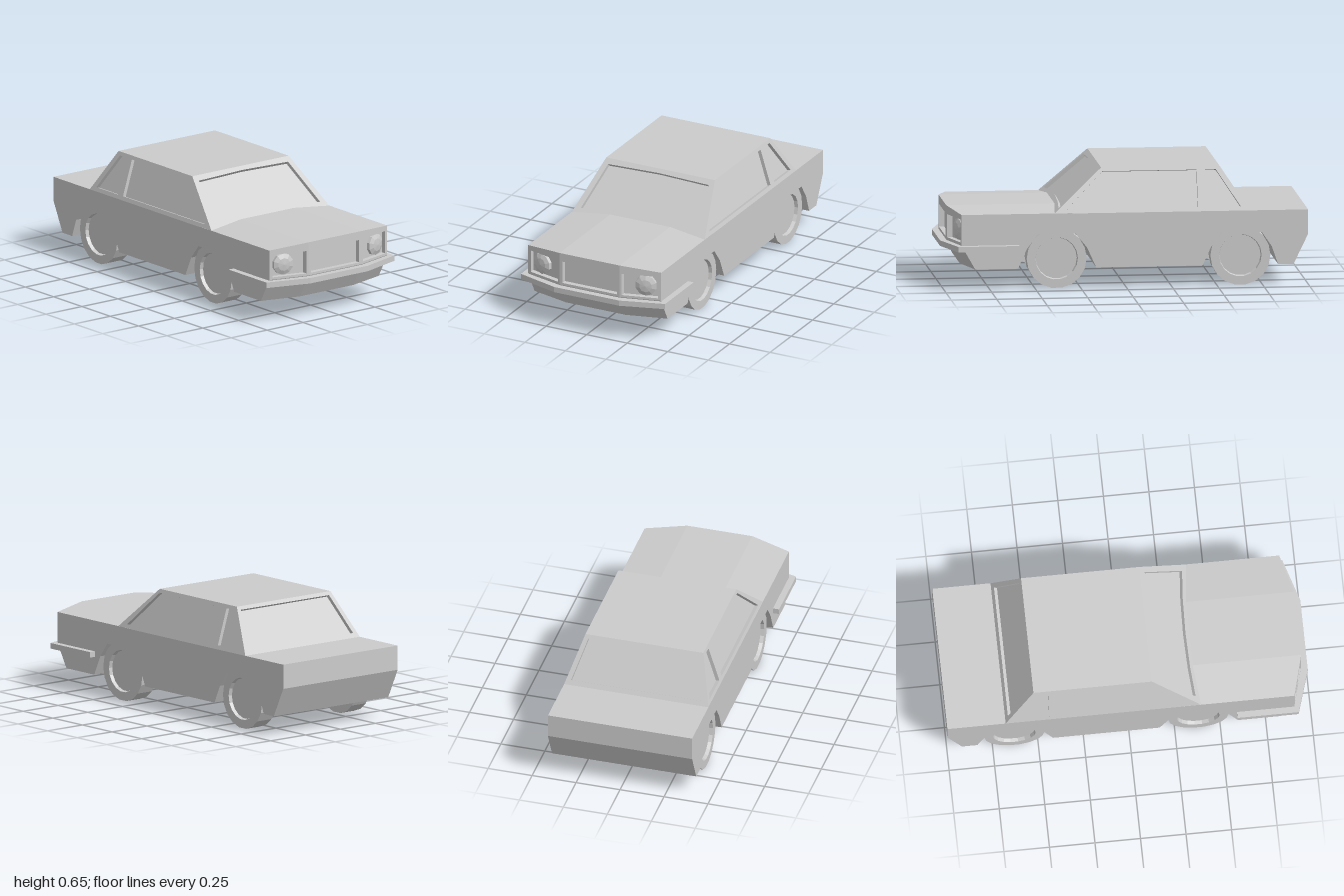
import * as THREE from 'three';

const material = new THREE.MeshStandardMaterial({ color: 0xcccccc, flatShading: true, side: THREE.DoubleSide });
const V = (x, y, z) => new THREE.Vector3(x, y, z);
const shapeOf = (pts) => new THREE.Shape(pts.map(([x, y]) => new THREE.Vector2(x, y)));
const extrude = (shape, depth, steps = 1) =>
  new THREE.ExtrudeGeometry(shape, { depth, steps, bevelEnabled: false });

const W = 0.41, BELT = 0.415, ROOF = 0.655, HOOD = 0.438, FOLD = 0.185, SWEEP = 0.06;
const CABIN_DEPTH = 0.02;

function add(parent, name, geometry) {
  const mesh = new THREE.Mesh(geometry, material);
  mesh.name = name;
  parent.add(mesh);
  return mesh;
}

// Lower body: side profile extruded across the width, then nose and hood edges drawn in
function bodyGeometry() {
  const profile = [
    [0.89, 0.115], [0.95, 0.22], [0.965, 0.25], [0.935, 0.25], [0.935, HOOD], [0.3, HOOD], [0.28, BELT],
    [-1, BELT], [-1, 0.28], [-0.92, 0.115],
    [-0.835, 0.115], [-0.8, 0.215], [-0.745, 0.295], [-0.52, 0.295], [-0.465, 0.215], [-0.42, 0.115],
    [0.165, 0.115], [0.215, 0.225], [0.28, 0.305], [0.485, 0.305], [0.545, 0.225], [0.595, 0.115],
  ];
  const g = extrude(shapeOf(profile), 2 * W, 4);
  g.rotateY(-Math.PI / 2).translate(W, 0, 0);
  const p = g.attributes.position;
  for (let i = 0; i < p.count; i++) {
    const x = Math.abs(p.getX(i));
    if (x > 0.3) {
      if (p.getZ(i) > 0.8) p.setZ(i, p.getZ(i) - SWEEP);
      if (p.getY(i) > BELT + 0.01) p.setY(i, BELT + 0.002);
    } else if (x > 0.1) p.setX(i, Math.sign(p.getX(i)) * FOLD);
  }
  g.computeVertexNormals();
  return g;
}

// Nose frame section with a rectangular opening, swept back outside the fold
function fasciaGeometry(outline, x0, x1) {
  const shape = shapeOf(outline);
  shape.holes.push(shapeOf([[x0, 0.263], [x1, 0.263], [x1, 0.39], [x0, 0.39]]));
  const g = extrude(shape, 0.03);
  const p = g.attributes.position;
  for (let i = 0; i < p.count; i++) {
    const back = Math.max(0, Math.abs(p.getX(i)) - FOLD) * SWEEP / (W - FOLD);
    p.setZ(i, p.getZ(i) + 0.935 - back);
  }
  g.computeVertexNormals();
  return g;
}

// Flat cabin panel through counter-clockwise 3D corners, with openings and recessed glass
function cabinPanel(parent, name, corners, openings = []) {
  const o = corners[0];
  const u = corners[1].clone().sub(o).normalize();
  const n = u.clone().cross(corners[corners.length - 1].clone().sub(o)).normalize();
  const v = n.clone().cross(u);
  const flat = (pts) => pts.map((q) => {
    const d = q.clone().sub(o);
    return [d.dot(u), d.dot(v)];
  });
  const place = new THREE.Matrix4().makeBasis(u, v, n).setPosition(o);
  const shape = shapeOf(flat(corners));
  openings.forEach((h) => shape.holes.push(shapeOf(flat(h))));
  add(parent, name, extrude(shape, CABIN_DEPTH).translate(0, 0, -CABIN_DEPTH).applyMatrix4(place));
  if (openings.length) {
    const glass = new THREE.ShapeGeometry(shapeOf(flat(corners)));
    add(parent, name + 'Glass', glass.translate(0, 0, -CABIN_DEPTH).applyMatrix4(place));
  }
}

function createCabin() {
  const cabin = new THREE.Group();
  cabin.name = 'cabin';
  const rise = (y) => (y - BELT) / (ROOF - BELT);
  const onSide = ([z, y]) => V(W - rise(y) * 0.075, y, z);
  const onFront = ([x, y]) => V(x, y, 0.395 - rise(y) * 0.265);
  const onRear = ([x, y]) => V(x, y, -0.68 + rise(y) * 0.16);

  cabinPanel(cabin, 'windshield', [[-W, BELT], [W, BELT], [0.335, ROOF], [-0.335, ROOF]].map(onFront),
    [[[-0.367, 0.44], [-0.2, 0.452], [0, 0.457], [0.2, 0.452], [0.367, 0.44],
      [0.31, 0.631], [0, 0.637], [-0.31, 0.631]].map(onFront)]);
  cabinPanel(cabin, 'rearWindow', [[W, BELT], [-W, BELT], [-0.335, ROOF], [0.335, ROOF]].map(onRear),
    [[[0.375, 0.438], [-0.375, 0.438], [-0.315, 0.637], [0.315, 0.637]].map(onRear)]);

  // Door and quarter windows on both sides
  const side = [[0.395, BELT], [-0.68, BELT], [-0.52, ROOF], [0.13, ROOF]].map(onSide);
  const windows = [
    [[0.325, 0.437], [-0.395, 0.437], [-0.395, 0.635], [0.125, 0.635]].map(onSide),
    [[-0.44, 0.437], [-0.63, 0.437], [-0.5, 0.635], [-0.44, 0.635]].map(onSide),
  ];
  const mirror = (pts) => pts.map((q) => V(-q.x, q.y, q.z)).reverse();
  cabinPanel(cabin, 'leftSide', side, windows);
  cabinPanel(cabin, 'rightSide', mirror(side), windows.map(mirror));
  cabinPanel(cabin, 'roof', [V(-0.335, ROOF, 0.13), V(0.335, ROOF, 0.13), V(0.335, ROOF, -0.52), V(-0.335, ROOF, -0.52)]);
  return cabin;
}

export function createModel() {
  const car = new THREE.Group();
  car.name = 'car';
  add(car, 'body', bodyGeometry());
  car.add(createCabin());

  // Grille and headlight surrounds
  add(car, 'grilleSurround', fasciaGeometry(
    [[-FOLD, 0.25], [FOLD, 0.25], [FOLD, HOOD], [-FOLD, HOOD]], -0.168, 0.168));
  for (const s of [-1, 1]) {
    add(car, 'headlightSurround', fasciaGeometry(
      [[s * FOLD, 0.25], [s * W, 0.25], [s * W, BELT + 0.002], [s * FOLD, HOOD]], s * 0.196, s * 0.392));
    const lamp = new THREE.LatheGeometry(
      [[0.06, 0], [0.06, 0.018], [0.036, 0.028], [0, 0.032]].map(([r, y]) => new THREE.Vector2(r, y)), 10);
    const light = add(car, 'headlight', lamp.rotateX(Math.PI / 2));
    light.position.set(s * 0.317, 0.328, 0.9);
    light.rotation.y = s * 0.26;
  }

  // Wrap-around front bumper
  const half = [[0.41, 0.59], [0.445, 0.59], [0.445, 0.925], [0.2, 1]];
  const inner = [[0.18, 0.95], [0.405, 0.89]];
  const flip = (pts) => pts.map(([x, z]) => [-x, z]).reverse();
  const plan = [...half, ...flip(half), ...flip(inner), ...inner].map(([x, z]) => [x, -z]);
  add(car, 'frontBumper', extrude(shapeOf(plan), 0.031).rotateX(-Math.PI / 2).translate(0, 0.215, 0));

  // Wheels with recessed hubs
  const wheelProfile = [[0, 0], [0.165, 0], [0.165, 0.1], [0.117, 0.1], [0.113, 0.08], [0, 0.08]];
  const wheel = new THREE.LatheGeometry(wheelProfile.map(([r, y]) => new THREE.Vector2(r, y)), 18)
    .rotateZ(-Math.PI / 2);
  for (const [end, z] of [['front', 0.38], ['rear', -0.63]]) {
    for (const s of [-1, 1]) {
      const mesh = add(car, end + (s > 0 ? 'Left' : 'Right') + 'Wheel', wheel);
      mesh.position.set(s * 0.288, 0.165, z);
      if (s < 0) mesh.rotation.y = Math.PI;
    }
  }
  return car;
}
